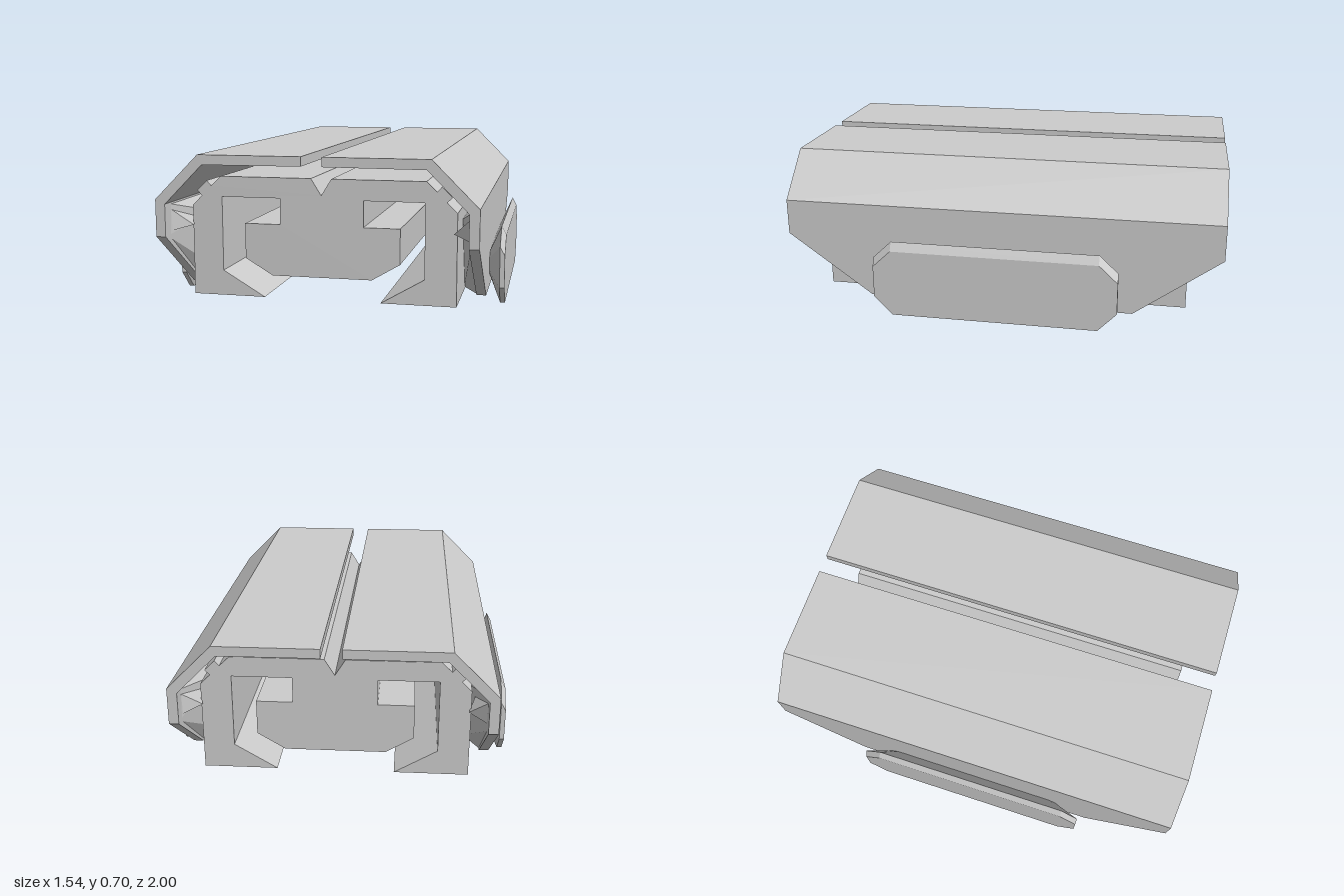
import * as THREE from 'three';
import { ConvexGeometry } from 'three/addons/geometries/ConvexGeometry.js';

const material = new THREE.MeshStandardMaterial({ color: 0xcccccc, flatShading: true });

function part(name, geometry) {
  const mesh = new THREE.Mesh(geometry, material);
  mesh.name = name;
  return mesh;
}

// Extrude an x/y profile from z0 to z1
function extrudeZ(name, points, z0, z1) {
  const shape = new THREE.Shape(points.map(([x, y]) => new THREE.Vector2(x, y)));
  const geometry = new THREE.ExtrudeGeometry(shape, { depth: z1 - z0, bevelEnabled: false });
  return part(name, geometry.translate(0, 0, z0));
}

// Convex solid through a list of x, y, z corners
const hull = (name, points) =>
  part(name, new ConvexGeometry(points.map((p) => new THREE.Vector3(...p))));

// Eight-sided outline in the z/y plane, placed at x
const octagon = (x, [z0, z1, y0, y1], cutZ, cutLow, cutHigh) => [
  [x, y0, z0 + cutZ], [x, y0, z1 - cutZ], [x, y0 + cutLow, z1], [x, y1 - cutHigh, z1],
  [x, y1, z1 - cutZ], [x, y1, z0 + cutZ], [x, y1 - cutHigh, z0], [x, y0 + cutLow, z0],
];

export function createModel() {
  const model = new THREE.Group();
  model.name = 'slottedBlock';

  // Core: one slotted profile, mirrored about the centre line
  const half = [
    [0.045, 0.595], [0.455, 0.595], [0.5, 0.552], [0.52, 0.575], [0.565, 0.53], [0.543, 0.508],
    [0.587, 0.465], [0.587, 0.063], [0.26, 0.063], [0.45, 0.175], [0.45, 0.505], [0.185, 0.505],
    [0.185, 0.39], [0.345, 0.39], [0.345, 0.235], [0.222, 0.162],
  ];
  const mirrored = half.map(([x, y]) => [-x, y]).reverse();
  model.add(extrudeZ('core', [[0, 0.522], ...half, ...mirrored], -0.845, 0.845));

  for (const s of [1, -1]) {
    const side = new THREE.Group();
    side.name = s > 0 ? 'leftSide' : 'rightSide';
    const mirror = (points) => points.map(([x, ...rest]) => [s * x, ...rest]);

    // Folded roof plate
    side.add(extrudeZ('roofPlate', mirror([
      [0.045, 0.703], [0.497, 0.703], [0.693, 0.507], [0.693, 0.345],
      [0.65, 0.345], [0.65, 0.487], [0.478, 0.66], [0.045, 0.662],
    ]), -1, 1));

    // Lower wall with sloping ends
    const wall = [];
    for (const x of [0.65, 0.693]) {
      for (const e of [1, -1]) wall.push([x, 0.345, e], [x, 0.063, e * 0.61]);
    }
    side.add(hull('sideWall', mirror(wall)));

    // Tapered web joining the wall to the core
    const web = [];
    for (const e of [1, -1]) {
      web.push([0.655, 0.485, e * 0.96], [0.655, 0.345, e * 0.97], [0.655, 0.063, e * 0.6],
        [0.58, 0.063, e * 0.46], [0.58, 0.4, e * 0.6]);
    }
    side.add(hull('web', mirror(web)));

    // Small pointed catches at both ends of the web
    for (const e of [1, -1]) {
      side.add(hull('catch', mirror([
        [0.655, 0.46, e * 0.94], [0.655, 0.36, e * 0.94], [0.575, 0.38, e * 0.87], [0.62, 0.4, e * 0.7],
      ])));
    }

    // Outer panel: flared mount and plate with a chamfered top
    const rim = octagon(0.748, [-0.547, 0.572, 0.003, 0.357], 0.085, 0.088, 0.08);
    const root = octagon(0.685, [-0.42, 0.43, 0.13, 0.21], 0.03, 0.02, 0.02);
    const face = octagon(0.77, [-0.547, 0.572, 0.003, 0.317], 0.085, 0.088, 0.08);
    side.add(hull('panelMount', mirror([...root, ...rim])));
    side.add(hull('panelPlate', mirror([...rim, ...face])));

    model.add(side);
  }
  return model;
}
